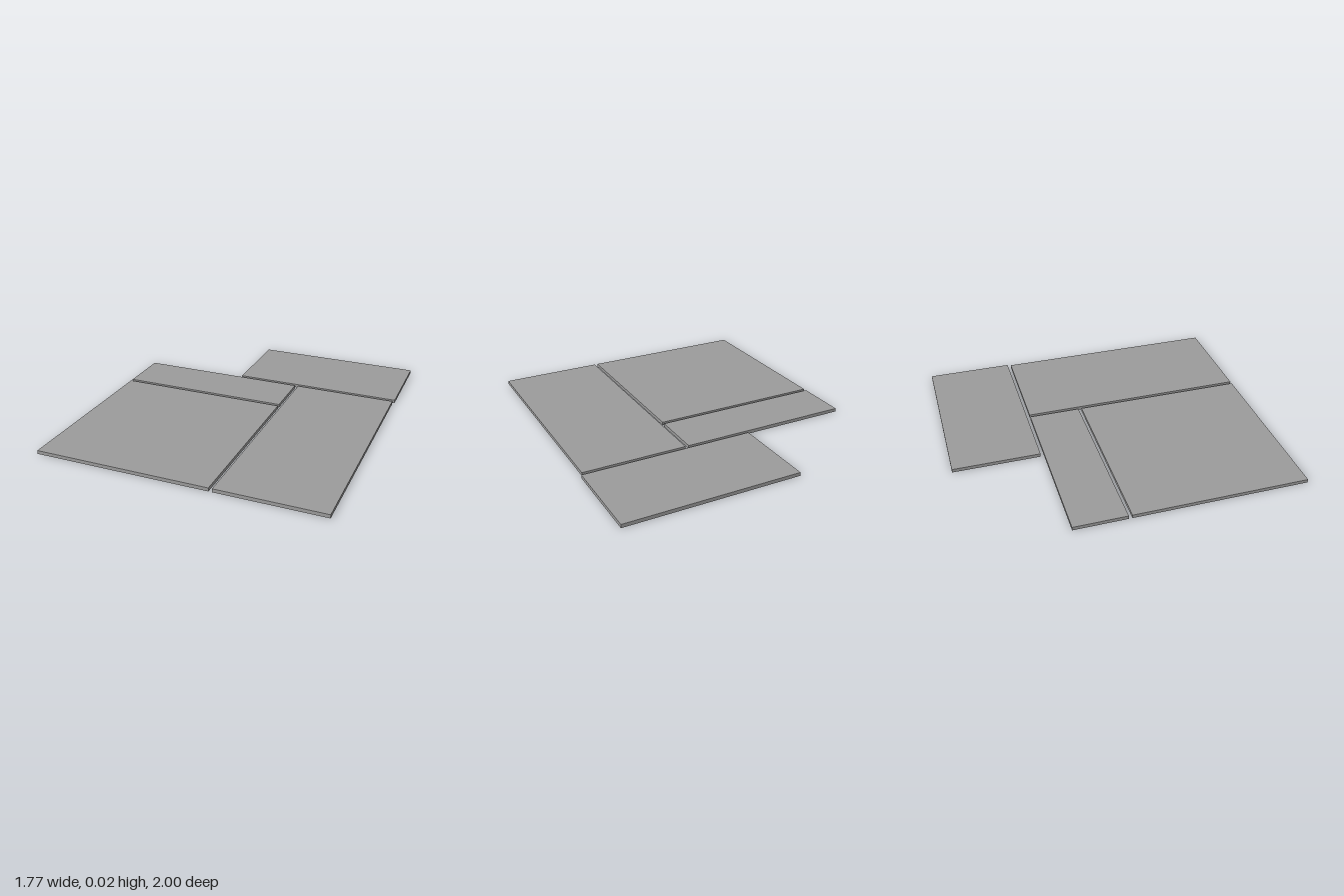
import * as THREE from 'three';

// One design unit: the board thickness and the gap between boards
const U = 2 / 92;

export function createModel() {
  const group = new THREE.Group();
  group.name = 'panelLayout';
  const material = new THREE.MeshStandardMaterial({ color: 0x9c9c9c });

  // Flat board from its min corner (x, z) and its size, in design units
  const addPanel = (name, x, z, width, depth) => {
    const panel = new THREE.Mesh(new THREE.BoxGeometry(width * U, U, depth * U), material);
    panel.name = name;
    panel.position.set((x + width / 2) * U, U / 2, (z + depth / 2) * U);
    group.add(panel);
  };

  addPanel('backPanel', -9.25, -46, 50, 25);
  addPanel('narrowPanel', -40.75, -20, 50, 15);
  addPanel('squarePanel', -40.75, -4, 50, 50);
  addPanel('longSidePanel', 10.25, -20, 30, 66);

  return group;
}
